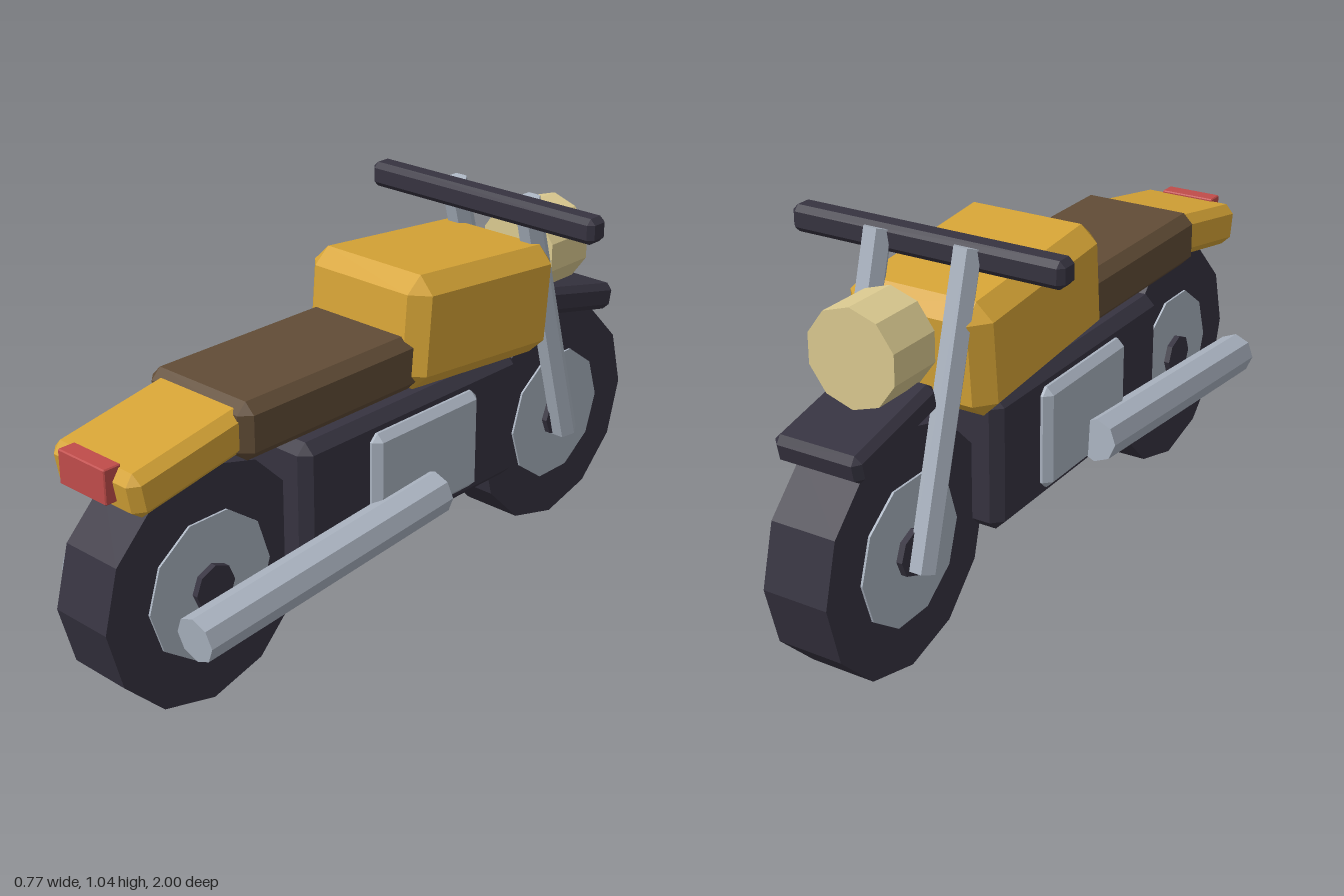
import * as THREE from 'three';
import { ConvexGeometry } from 'three/addons/geometries/ConvexGeometry.js';

const mat = (name, color) => {
  const m = new THREE.MeshStandardMaterial({ color, flatShading: true });
  m.name = name;
  return m;
};

// Box with flat chamfers of size c on every edge
function chamferBox(w, h, d, c) {
  const pts = [];
  for (const sx of [-1, 1]) for (const sy of [-1, 1]) for (const sz of [-1, 1]) {
    const x = w / 2, y = h / 2, z = d / 2;
    pts.push(
      new THREE.Vector3(sx * x, sy * (y - c), sz * (z - c)),
      new THREE.Vector3(sx * (x - c), sy * y, sz * (z - c)),
      new THREE.Vector3(sx * (x - c), sy * (y - c), sz * z));
  }
  return new ConvexGeometry(pts);
}

export function createModel() {
  const bike = new THREE.Group();
  bike.name = 'motorcycle';
  const dark = mat('charcoal', 0x363340);
  const gold = mat('gold paint', 0xd6a436);
  const silver = mat('silver metal', 0xa9b2bf);
  const brown = mat('brown leather', 0x614c36);
  const red = mat('red lens', 0xc04c4a);
  const cream = mat('cream lamp', 0xdbca90);

  const add = (name, geo, material, x, y, z, tilt = 0, parent = bike) => {
    const m = new THREE.Mesh(geo, material);
    m.name = name;
    m.position.set(x, y, z);
    m.rotation.x = tilt;
    parent.add(m);
    return m;
  };

  // Cylinder running between two points
  const rod = (name, a, b, r, sides, material, twist = 0) => {
    const from = new THREE.Vector3(...a), to = new THREE.Vector3(...b);
    const dir = to.clone().sub(from);
    const geo = new THREE.CylinderGeometry(r, r, dir.length(), sides).rotateY(twist);
    const mid = from.add(to).multiplyScalar(0.5);
    return add(name, geo, material, mid.x, mid.y, mid.z, Math.atan2(dir.z, dir.y));
  };

  // Wheels: tyre, rim and hub on one axle
  const disc = (r, w, sides) => new THREE.CylinderGeometry(r, r, w, sides).rotateZ(Math.PI / 2);
  for (const [name, z] of [['frontWheel', -0.677], ['rearWheel', 0.677]]) {
    const wheel = new THREE.Group();
    wheel.name = name;
    wheel.position.set(0, 0.323, z);
    add('tyre', disc(0.323, 0.18, 12), dark, 0, 0, 0, 0, wheel);
    add('rim', disc(0.195, 0.192, 10), silver, 0, 0, 0, 0, wheel);
    add('hub', disc(0.062, 0.225, 8), dark, 0, 0, 0, 0, wheel);
    bike.add(wheel);
  }

  // Body
  add('engineBlock', chamferBox(0.34, 0.37, 0.83, 0.028), dark, 0, 0.438, 0.01);
  add('enginePanel', chamferBox(0.395, 0.285, 0.405, 0.02), silver, 0, 0.438, -0.007);
  add('fuelTank', chamferBox(0.412, 0.305, 0.575, 0.045), gold, 0, 0.78, -0.228, -0.09);
  add('seat', chamferBox(0.357, 0.152, 0.62, 0.028), brown, 0, 0.726, 0.315);
  add('tailCowl', chamferBox(0.306, 0.12, 0.45, 0.025), gold, 0, 0.705, 0.717, 0.18);
  add('tailLight', chamferBox(0.165, 0.09, 0.05, 0.003), red, 0, 0.691, 0.942);

  // Front end
  add('frontFender', chamferBox(0.245, 0.078, 0.325, 0.018), dark, 0, 0.666, -0.742, -0.22);
  add('handlebar', chamferBox(0.772, 0.07, 0.07, 0.015), dark, 0, 1.01, -0.439);
  add('headlight', new THREE.CylinderGeometry(0.127, 0.127, 0.16, 10).rotateX(-Math.PI / 2),
    cream, 0, 0.83, -0.675);

  // Mirrored forks and exhausts
  for (const [side, s] of [['left', 1], ['right', -1]]) {
    rod(side + 'Fork', [s * 0.128, 0.28, -0.68], [s * 0.128, 1.033, -0.464], 0.038, 6, silver, Math.PI / 6);
    rod(side + 'Exhaust', [s * 0.217, 0.295, 0.842], [s * 0.217, 0.363, -0.007], 0.06, 8, silver);
  }
  return bike;
}
